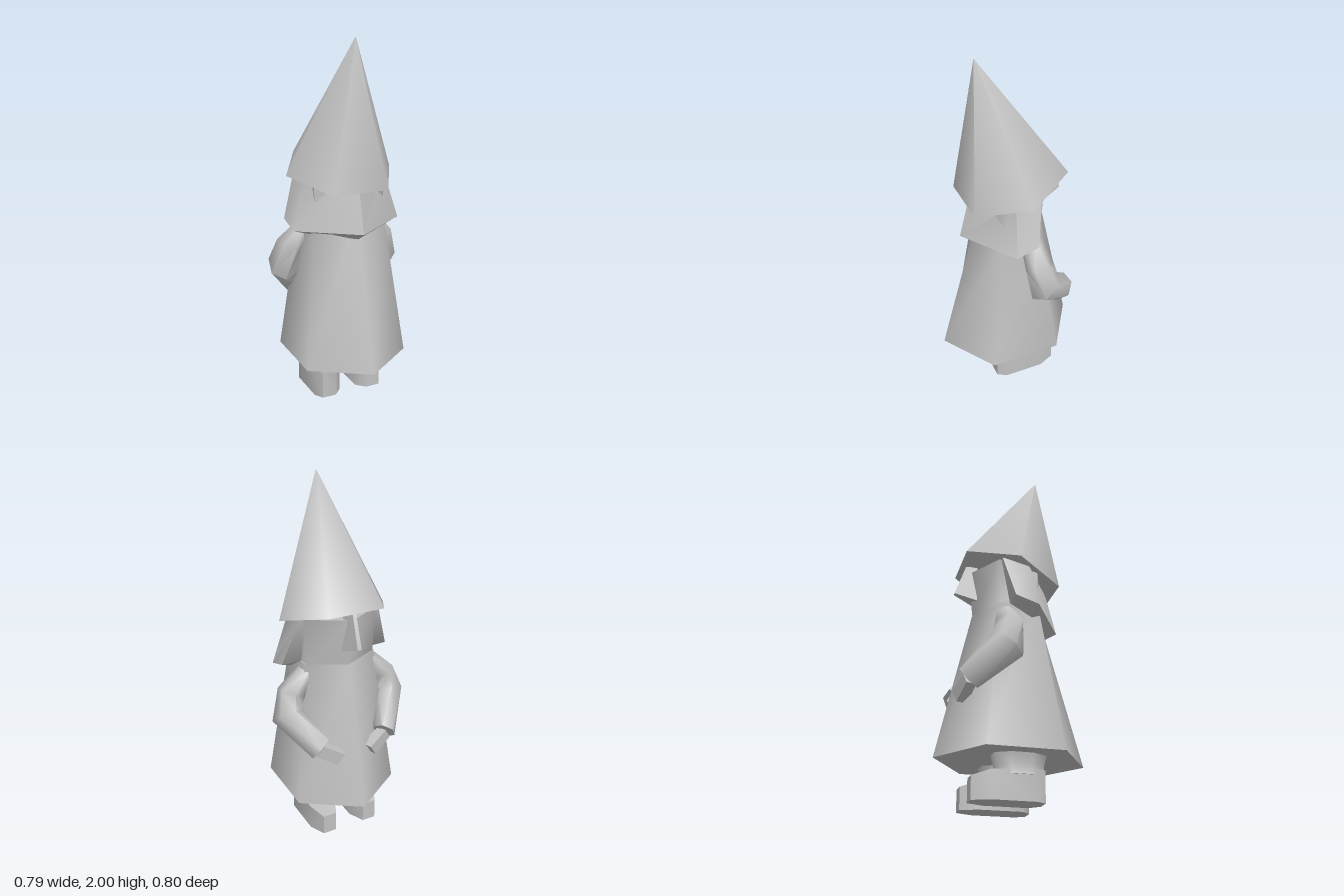
import * as THREE from 'three';
import { toCreasedNormals } from 'three/addons/utils/BufferGeometryUtils.js';

const grey = new THREE.MeshStandardMaterial({ color: 0xc0c0c0 });
grey.name = 'plain grey';

// Skin over rings of [x, y, z] points with equal counts, closed at both ends
function loft(name, rings, crease = 1.2) {
  const n = rings[0].length, pos = rings.flat(2), idx = [];
  for (let r = 0; r < rings.length - 1; r++)
    for (let i = 0; i < n; i++) {
      const a = r * n + i, b = r * n + (i + 1) % n;
      idx.push(a, b, b + n, a, b + n, a + n);
    }
  const last = (rings.length - 1) * n;
  for (let i = 1; i < n - 1; i++) idx.push(0, i + 1, i, last, last + i, last + i + 1);
  // Turn the faces outward when the signed volume is negative
  const p = (i) => new THREE.Vector3().fromArray(pos, i * 3);
  let volume = 0;
  for (let i = 0; i < idx.length; i += 3)
    volume += p(idx[i]).dot(p(idx[i + 1]).cross(p(idx[i + 2])));
  if (volume < 0) idx.reverse();
  const g = new THREE.BufferGeometry();
  g.setAttribute('position', new THREE.Float32BufferAttribute(pos, 3));
  g.setIndex(idx);
  const mesh = new THREE.Mesh(toCreasedNormals(g, crease), grey);
  mesh.name = name;
  return mesh;
}

// Hexagon with corners at front and back
const hex = (y, front, back, w, zf, zb) =>
  [[0, y, back], [w, y, zb], [w, y, zf], [0, y, front], [-w, y, zf], [-w, y, zb]];

// Ring around a point, facing along dir
function ring(c, dir, rx, ry, sides = 6, turn = 0) {
  const d = new THREE.Vector3(...dir).normalize();
  const u = new THREE.Vector3(0, 1, 0).addScaledVector(d, -d.y).normalize();
  const v = new THREE.Vector3().crossVectors(d, u);
  return Array.from({ length: sides }, (_, i) => {
    const t = turn + (i / sides) * Math.PI * 2;
    return new THREE.Vector3(...c).addScaledVector(u, Math.cos(t) * ry)
      .addScaledVector(v, Math.sin(t) * rx).toArray();
  });
}

const mirror = (rings, s) => rings.map((r) => r.map(([x, y, z]) => [x * s, y, z]));

export function createModel() {
  const model = new THREE.Group();
  model.name = 'hooded figure';

  // Long robe and the head rising from it
  model.add(loft('robe', [
    hex(0.235, -0.4, 0.4, 0.305, -0.2, 0.2),
    hex(1.04, -0.218, 0.18, 0.21, -0.11, 0.1),
  ]));
  model.add(loft('head', [
    hex(1.035, -0.215, 0.18, 0.205, -0.11, 0.1),
    hex(1.3, -0.245, 0.18, 0.21, -0.12, 0.1),
  ]));

  // Nose wedge
  model.add(loft('nose', [
    [[-0.045, 1.12, -0.2], [0.045, 1.12, -0.2], [0.012, 1.165, -0.322], [-0.012, 1.165, -0.322]],
    [[-0.03, 1.35, -0.2], [0.03, 1.35, -0.2], [0.01, 1.34, -0.262], [-0.01, 1.34, -0.262]],
  ]));

  // Flared hair, open toward the face
  const hair = (sx, y1, z1, y2, z2, y3, z3) =>
    [[sx, y1, z1], [sx, y2, z2], [0, y3, z3], [-sx, y2, z2], [-sx, y1, z1]];
  model.add(loft('hair', [
    hair(0.235, 1.3, -0.105, 1.29, 0.04, 1.27, 0.2),
    hair(0.32, 1.04, -0.055, 1.0, 0.07, 0.99, 0.27),
    hair(0.21, 1.03, -0.04, 0.965, 0.06, 0.945, 0.2),
  ], 0.95));

  // Pointed hat leaning back, with a slanted six-sided brim
  const brim = [[0.16, 1.21, 0.24], [0.315, 1.28, -0.025], [0.16, 1.355, -0.29],
    [-0.16, 1.355, -0.29], [-0.315, 1.28, -0.025], [-0.16, 1.21, 0.24]];
  model.add(loft('hat', [brim, brim.map(([x, , z]) =>
    [x * 0.002, 2, 0.162 + z * 0.002])]));

  for (const s of [1, -1]) {
    const side = s > 0 ? 'left' : 'right';

    // Bent sleeve
    model.add(loft(side + 'Sleeve', mirror([
      ring([0.19, 0.985, -0.07], [0.6, -0.8, -0.1], 0.06, 0.05),
      ring([0.28, 0.88, -0.08], [0.4, -1, -0.15], 0.08, 0.075),
      ring([0.315, 0.755, -0.1], [-0.1, -0.8, -0.6], 0.085, 0.1),
      ring([0.2, 0.6, -0.265], [-0.6, -0.65, -0.6], 0.065, 0.08),
    ], s)));

    // Blocky hand
    model.add(loft(side + 'Hand', mirror([
      ring([0.2, 0.595, -0.265], [-0.7, -0.5, -0.25], 0.04, 0.05, 4, Math.PI / 4),
      ring([0.09, 0.53, -0.29], [-0.7, -0.5, -0.25], 0.045, 0.055, 4, Math.PI / 4),
    ], s)));

    // Shoe with a sloping toe
    const sole = [[0.1, 0.13], [0.18, 0.13], [0.21, 0.08], [0.21, -0.15],
      [0.17, -0.24], [0.09, -0.24], [0.05, -0.15], [0.05, 0.08]];
    model.add(loft(side + 'Shoe', mirror([
      sole.map(([x, z]) => [x, 0, z]),
      sole.map(([x, z]) => [x, 0.16 + Math.min(0, z + 0.1) * 0.3, z]),
    ], s), 0.9));

    // Leg widening into the robe
    const leg = (y, k, w) => [[0.14 - w * 0.5, y, 0.125 * k], [0.14 + w * 0.5, y, 0.125 * k],
      [0.14 + w, y, 0.06], [0.14 + w, y, -0.05], [0.14 + w * 0.5, y, -0.115 * k],
      [0.14 - w * 0.5, y, -0.115 * k], [0.14 - w, y, -0.05], [0.14 - w, y, 0.06]];
    model.add(loft(side + 'Leg', mirror([
      leg(0.13, 1, 0.075), leg(0.18, 1, 0.066), leg(0.25, 1.15, 0.085),
    ], s)));
  }
  return model;
}
